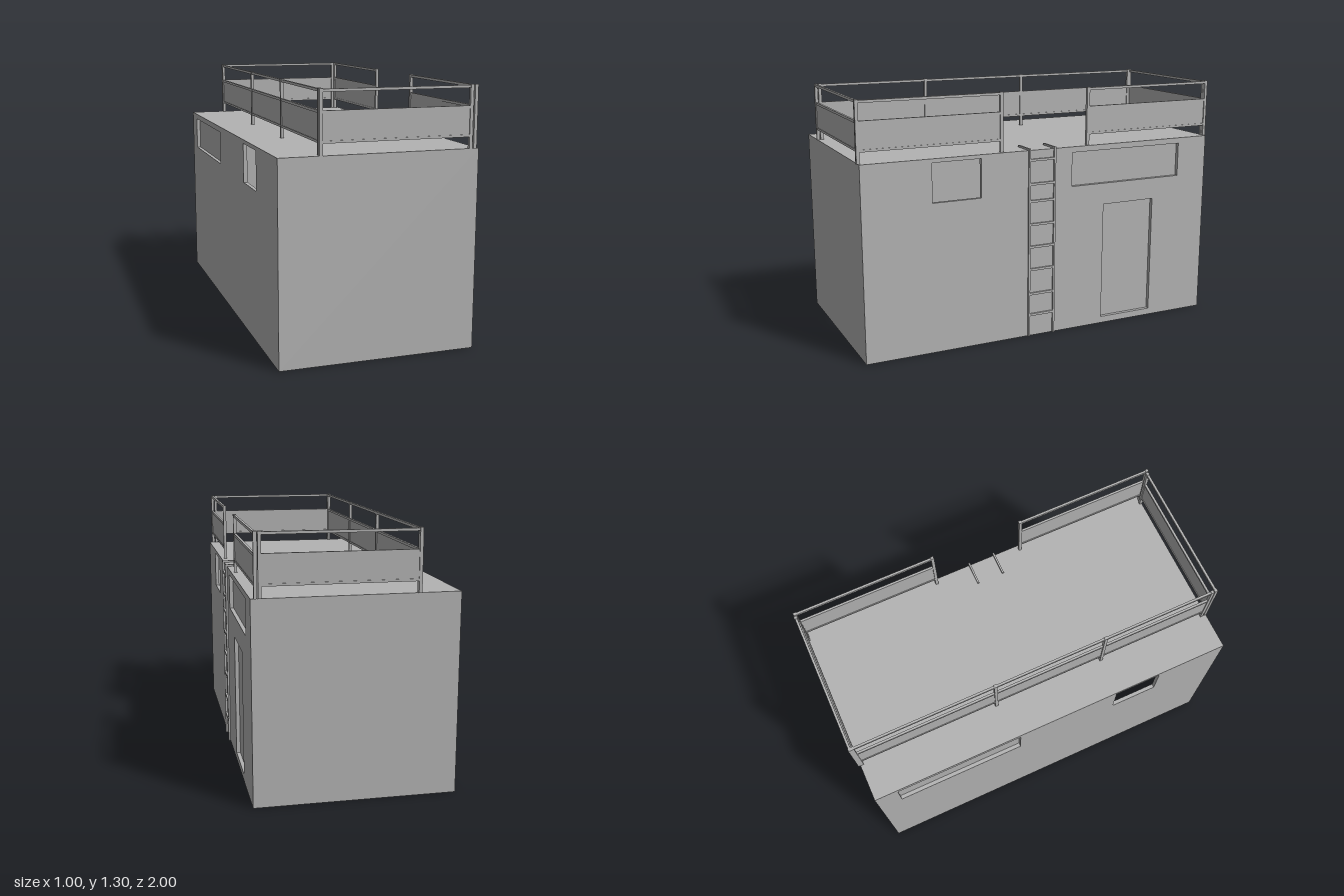
import * as THREE from 'three';

const grey = new THREE.MeshStandardMaterial({ color: 0xb3b3b3, side: THREE.DoubleSide });
grey.name = 'concrete grey';

const X0 = -0.5, X1 = 0.49, Z = 0.99, TOP = 0.995, DEPTH = 0.02;

function mesh(name, geometry, parent) {
  const m = new THREE.Mesh(geometry, grey);
  m.name = name;
  parent.add(m);
  return m;
}

// Box given by its low and high limits on each axis
function box(name, parent, x0, x1, y0, y1, z0, z1) {
  const m = mesh(name, new THREE.BoxGeometry(x1 - x0, y1 - y0, z1 - z0), parent);
  m.position.set((x0 + x1) / 2, (y0 + y1) / 2, (z0 + z1) / 2);
  return m;
}

function group(name, parent) {
  const g = new THREE.Group();
  g.name = name;
  parent.add(g);
  return g;
}

function plate(name, parent, w, h, x, y, z, rx, ry) {
  const m = mesh(name, new THREE.PlaneGeometry(w, h), parent);
  m.position.set(x, y, z);
  m.rotation.set(rx, ry, 0);
}

// Long wall with openings; each opening gets an inward reveal and, if closed, a panel
function sideWall(name, parent, x, dir, openings) {
  const g = group(name, parent);
  const toLocal = (z) => -dir * z;
  const rect = (path, a, b, y0, y1) => {
    path.moveTo(a, y0);
    path.lineTo(b, y0);
    path.lineTo(b, y1);
    path.lineTo(a, y1);
    path.closePath();
    return path;
  };
  const shape = rect(new THREE.Shape(), -Z, Z, 0, TOP);
  for (const o of openings) {
    const a = Math.min(toLocal(o.z0), toLocal(o.z1));
    const b = Math.max(toLocal(o.z0), toLocal(o.z1));
    const w = b - a, h = o.y1 - o.y0, cx = (a + b) / 2, cy = (o.y0 + o.y1) / 2;
    shape.holes.push(rect(new THREE.Path(), a, b, o.y0, o.y1));
    for (const s of [-1, 1]) {
      plate(o.name + 'Sill', g, w, DEPTH, cx, cy + s * h / 2, -DEPTH / 2, s * Math.PI / 2, 0);
      plate(o.name + 'Jamb', g, DEPTH, h, cx + s * w / 2, cy, -DEPTH / 2, 0, -s * Math.PI / 2);
    }
    if (o.closed) plate(o.name + 'Panel', g, w, h, cx, cy, -DEPTH, 0, 0);
  }
  mesh(name + 'Sheet', new THREE.ShapeGeometry(shape), g);
  g.position.x = x;
  g.rotation.y = dir * Math.PI / 2;
}

// Straight railing run along one axis, with posts at the listed positions
function railing(name, parent, axis, fixed, from, to, posts) {
  const g = group(name, parent);
  const bar = (part, a, b, y0, y1, t) => axis === 'x'
    ? box(part, g, a, b, y0, y1, fixed - t, fixed + t)
    : box(part, g, fixed - t, fixed + t, y0, y1, a, b);
  for (const [y0, y1] of [[1.05, 1.062], [1.185, 1.198], [1.281, 1.294]]) bar('rail', from, to, y0, y1, 0.006);
  bar('kickPanel', from, to, 1.062, 1.185, 0.003);
  for (const p of posts) bar('post', p - 0.008, p + 0.008, TOP, 1.297, 0.008);
}

export function createModel() {
  const model = new THREE.Group();
  model.name = 'rooftopShelter';

  // Hollow shell, open underneath
  const shell = group('shell', model);
  const width = X1 - X0, mid = (X0 + X1) / 2;
  plate('roof', shell, width, 2 * Z, mid, TOP, 0, -Math.PI / 2, 0);
  plate('frontWall', shell, width, TOP, mid, TOP / 2, Z, 0, 0);
  plate('backWall', shell, width, TOP, mid, TOP / 2, -Z, 0, Math.PI);
  sideWall('leftWall', shell, X1, 1, [
    { name: 'smallWindow', z0: 0.37, z1: 0.63, y0: 0.775, y1: 0.975 },
    { name: 'longWindow', z0: -0.81, z1: -0.145, y0: 0.785, y1: 0.965, closed: true },
    { name: 'door', z0: -0.65, z1: -0.34, y0: 0.035, y1: 0.67, closed: true },
  ]);
  sideWall('rightWall', shell, X0, -1, [
    { name: 'smallWindow', z0: 0.36, z1: 0.61, y0: 0.775, y1: 0.975 },
    { name: 'longWindow', z0: -0.87, z1: -0.19, y0: 0.785, y1: 0.965, closed: true },
  ]);

  // Ladder with grab bars lying on the roof
  const ladder = group('ladder', model);
  for (const z of [-0.04, 0.105]) {
    box('ladderRail', ladder, X1, 0.5, 0, 1.005, z - 0.005, z + 0.005);
    box('grabBar', ladder, 0.37, 0.5, TOP, 1.005, z - 0.005, z + 0.005);
  }
  for (const y of [0.117, 0.232, 0.365, 0.487, 0.607, 0.73, 0.82, 0.945]) {
    box('rung', ladder, X1, 0.5, y - 0.006, y + 0.006, -0.035, 0.1);
  }

  // Railings around the roof, with a gap at the ladder
  const rails = group('railings', model);
  railing('rightRailing', rails, 'z', -0.297, -0.985, 0.97, [-0.98, -0.235, 0.365, 0.965]);
  railing('frontRailing', rails, 'x', 0.985, -0.297, 0.455, [-0.297, 0.447]);
  railing('backRailing', rails, 'x', -0.992, -0.297, 0.455, [-0.297, 0.447]);
  railing('leftFrontRailing', rails, 'z', 0.467, 0.245, 0.995, [0.25, 0.99]);
  railing('leftBackRailing', rails, 'z', 0.467, -0.995, -0.24, [-0.99, -0.245]);

  return model;
}
